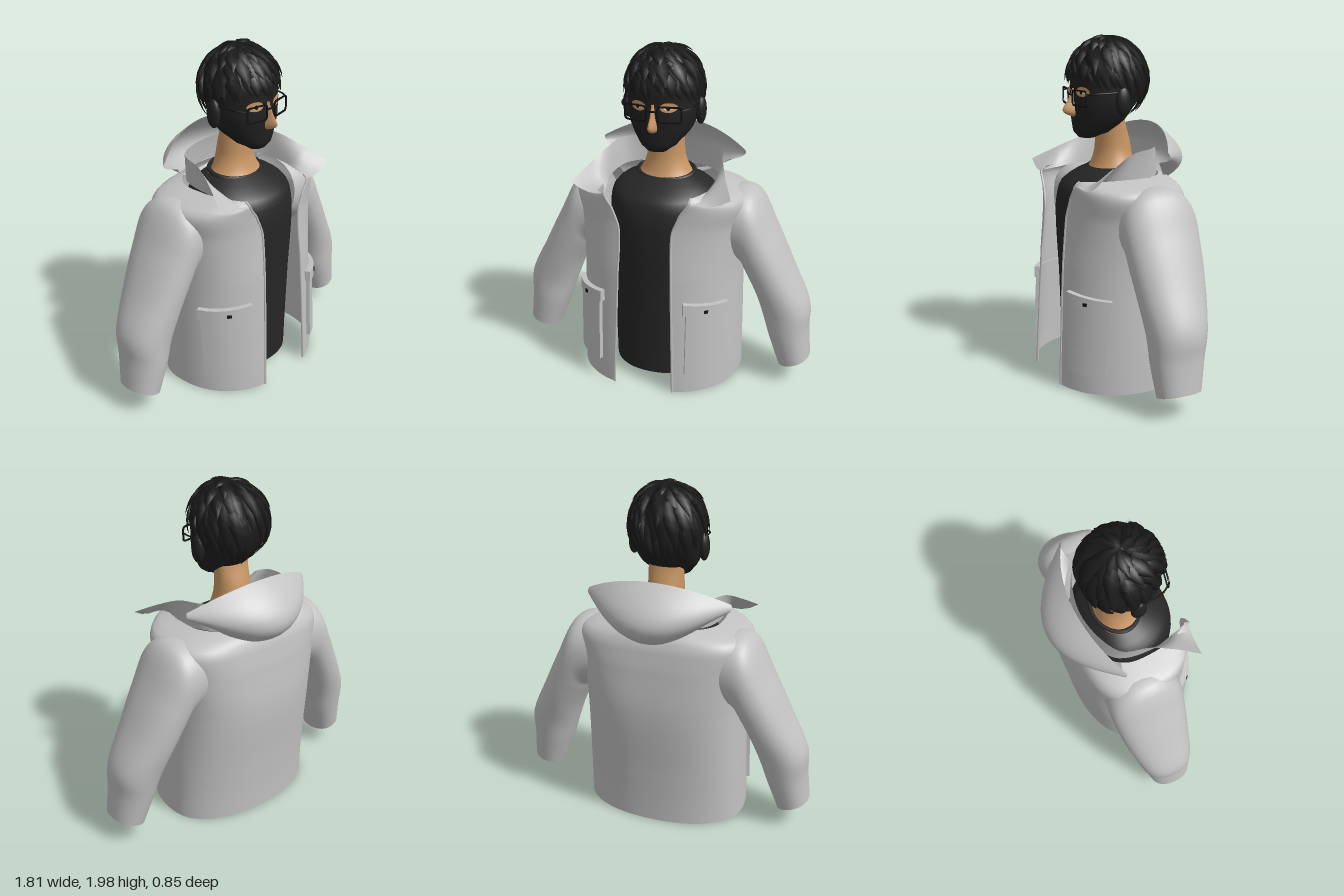
import * as THREE from 'three';

const mat = (name, color) => {
  const m = new THREE.MeshStandardMaterial({ color, side: THREE.DoubleSide });
  m.name = name;
  return m;
};
const V = (x, y, z) => new THREE.Vector3(x, y, z);

// Smooth lookup in a table of rows whose first column is the height
function atY(rows, y) {
  let i = 0;
  while (i < rows.length - 2 && y > rows[i + 1][0]) i++;
  const t = (y - rows[i][0]) / (rows[i + 1][0] - rows[i][0]);
  const r = (k) => rows[Math.min(Math.max(k, 0), rows.length - 1)];
  return rows[i].map((b, c) => {
    if (c === 0) return y;
    const a = r(i - 1)[c], d = r(i + 1)[c], e = r(i + 2)[c];
    return 0.5 * (2 * b + (d - a) * t + (2 * a - 5 * b + 4 * d - e) * t * t + (3 * b - a - 3 * d + e) * t ** 3);
  });
}

// Skin a surface over rows of points
function loft(rings, closed = true) {
  const n = rings[0].length, index = [];
  for (let i = 0; i < rings.length - 1; i++) {
    for (let j = 0; j < (closed ? n : n - 1); j++) {
      const a = i * n + j, b = i * n + (j + 1) % n;
      index.push(a, b, a + n, b, b + n, a + n);
    }
  }
  const g = new THREE.BufferGeometry().setFromPoints(rings.flat());
  g.setIndex(index);
  g.computeVertexNormals();
  return g;
}

// Superellipse ring from a row [y, halfWidth, frontZ, backZ, centreZ, opening, backExponent]; angle 0 is the front
const pw = (v, p) => Math.sign(v) * Math.abs(v) ** p;
function ring([y, w, front, back, c, , nb], n, count, a0 = 0, a1 = Math.PI * 2, closed = true) {
  return Array.from({ length: count }, (_, i) => {
    const a = a0 + (a1 - a0) * i / (closed ? count : count - 1), cos = Math.cos(a);
    const p = 2 / (cos < 0 && nb ? nb : n), k = pw(cos, p);
    return V(w * pw(Math.sin(a), p), y, c + (k > 0 ? (front - c) * k : (c - back) * k));
  });
}
function body(rows, n, steps, count, cap = false) {
  const y0 = rows[0][0], y1 = rows[rows.length - 1][0], rings = [];
  for (let i = 0; i <= steps; i++) rings.push(ring(atY(rows, y0 + (y1 - y0) * i / steps), n, count));
  if (cap) {
    const r = rows[0], mid = V(0, y0, (r[2] + r[3]) / 2);
    rings.unshift(rings[0].map(() => mid.clone()), rings[0].map((p) => p.clone()));
  }
  return loft(rings);
}
// z of the front surface of such a body
const frontZ = (rows, n, x, y) => {
  const r = atY(rows, y);
  return r[4] + (r[2] - r[4]) * Math.max(0, 1 - Math.abs(x / r[1]) ** n) ** (1 / n);
};

// Rows: y, half width, front, back, centre (jacket adds half opening and back squareness)
const JACKET = [[0.01, 0.49, 0.44, -0.31, 0, 0.18, 2.2], [0.3, 0.485, 0.425, -0.325, 0, 0.172, 2.3], [0.72, 0.475, 0.4, -0.355, 0, 0.16, 2.6],
  [1.0, 0.49, 0.372, -0.335, 0, 0.156, 3], [1.12, 0.515, 0.37, -0.315, 0, 0.2, 3], [1.17, 0.49, 0.38, -0.295, 0, 0.235, 2.8],
  [1.195, 0.42, 0.4, -0.275, 0, 0.247, 2.4], [1.215, 0.33, 0.44, -0.24, 0, 0.25, 2.2]];
const SHIRT = [[0.04, 0.3, 0.3, -0.22, 0], [0.6, 0.31, 0.315, -0.24, 0], [1.0, 0.32, 0.33, -0.25, 0],
  [1.14, 0.31, 0.3, -0.22, 0], [1.2, 0.26, 0.22, -0.19, 0], [1.24, 0.175, 0.14, -0.135, 0]];
const NECK = [[1.19, 0.2, 0.16, -0.15, 0], [1.26, 0.145, 0.125, -0.12, 0], [1.33, 0.115, 0.105, -0.11, 0],
  [1.4, 0.107, 0.1, -0.095, 0], [1.52, 0.105, 0.1, -0.06, 0]];
const HEAD = [[1.42, 0.055, 0.21, 0.12, 0.165], [1.45, 0.1, 0.235, 0.03, 0.13], [1.52, 0.16, 0.243, -0.045, 0.06],
  [1.6, 0.193, 0.248, -0.105, 0.04], [1.7, 0.203, 0.243, -0.155, 0.03], [1.8, 0.203, 0.235, -0.17, 0.03],
  [1.9, 0.15, 0.17, -0.12, 0.03], [1.95, 0.05, 0.06, -0.02, 0.02]];
const NOSE = [[1.54, 0.018, 0.25, 0.2, 0.22], [1.555, 0.028, 0.292, 0.2, 0.22], [1.58, 0.027, 0.312, 0.2, 0.22],
  [1.63, 0.017, 0.282, 0.2, 0.22], [1.7, 0.013, 0.252, 0.2, 0.22]];
// Sleeve: step, outer x, y, inner x, y, back z, front z
const SLEEVE = [[0, 0.36, 1.185, 0.34, 0.8, -0.25, 0.17], [1, 0.53, 1.17, 0.455, 0.75, -0.262, 0.185], [2, 0.655, 0.95, 0.495, 0.69, -0.25, 0.182],
  [3, 0.77, 0.72, 0.56, 0.56, -0.222, 0.17], [4, 0.878, 0.5, 0.61, 0.42, -0.18, 0.155],
  [5, 0.888, 0.34, 0.655, 0.285, -0.15, 0.15], [6, 0.905, 0.17, 0.72, 0.11, -0.115, 0.135]];

export function createModel() {
  const group = new THREE.Group();
  const cloth = mat('jacket grey', 0xc2c2c2), black = mat('shirt black', 0x262626), mask = mat('mask black', 0x202020);
  const hairM = mat('hair black', 0x1b1b1b), skin = mat('skin', 0xc79563), white = mat('eye white', 0xe4dcd2), dark = mat('dark detail', 0x111111);
  const add = (name, geometry, material, parent = group) => {
    const m = new THREE.Mesh(geometry, material);
    m.name = name;
    parent.add(m);
    return m;
  };

  // Jacket body, open down the front and hanging slightly to one side
  const openAngle = (r) => Math.asin((r[5] / r[1]) ** 1.15);
  const hang = -0.01;
  const shell = [];
  for (let i = 0; i <= 60; i++) {
    const r = atY(JACKET, 0.01 + 1.205 * i / 60), a = openAngle(r);
    shell.push(ring(r, 2.3, 97, a, Math.PI * 2 - a, false).map((p) => p.add(V(hang, 0, 0))));
  }
  add('jacketBody', loft(shell, false), cloth);

  // Collar, flaring to a point at each front end
  const half = [[0.25, 1.195, 0.34, 0.465, 1.23, 0.32], [0.285, 1.2, 0.22, 0.4, 1.3, 0.19], [0.315, 1.205, 0.08, 0.345, 1.36, 0.05],
    [0.27, 1.215, -0.13, 0.295, 1.38, -0.11]];
  const whole = [...half, [0, 1.22, -0.24, 0, 1.37, -0.21], ...half.slice().reverse().map((p) => [-p[0], p[1], p[2], -p[3], p[4], p[5]])];
  const low = new THREE.CatmullRomCurve3(whole.map((p) => V(p[0], p[1], p[2])));
  const high = new THREE.CatmullRomCurve3(whole.map((p) => V(p[3], p[4], p[5])));
  const collar = [];
  for (let i = 0; i <= 56; i++) {
    const a = low.getPoint(i / 56), b = high.getPoint(i / 56);
    const bulge = 0.06 - 0.7 * Math.max(0, Math.abs(i / 28 - 1) - 0.75);
    collar.push([0, 0.25, 0.5, 0.75, 1].map((t) => a.clone().lerp(b, t).add(V(0, bulge * t * (1 - t), 0))));
  }
  add('collar', loft(collar, false), cloth);

  // Hood folded down the back
  const hood = [];
  for (let i = 0; i <= 40; i++) {
    const s = i / 20 - 1, q = s * s;
    const c = new THREE.QuadraticBezierCurve3(V(0.43 * s, 1.485 - 0.115 * q, -0.245 + 0.12 * q),
      V(0.46 * s, 1.25 + 0.07 * q, -0.575 + 0.42 * q), V(0.34 * s, 1.13 + 0.17 * q, -0.28 + 0.16 * q));
    hood.push(c.getPoints(14));
  }
  add('hood', loft(hood, false), cloth);

  // Sleeves, front edges and pockets on both sides
  for (const side of [1, -1]) {
    const tag = side > 0 ? 'left' : 'right';
    const rings = [];
    for (let i = 0; i <= 42; i++) {
      const [, ox, oy, ix, iy, zb, zf] = atY(SLEEVE, i / 7);
      rings.push(Array.from({ length: 32 }, (_, j) => {
        const a = j / 32 * Math.PI * 2, k = 0.5 + 0.5 * pw(Math.cos(a), 0.9);
        return V(side * (ix + (ox - ix) * k), iy + (oy - iy) * k, (zb + zf) / 2 + (zf - zb) / 2 * pw(Math.sin(a), 0.9));
      }));
    }
    add(tag + 'Sleeve', loft(rings), cloth);
    const edge = shell.map((r) => (side > 0 ? r[0] : r[r.length - 1]).clone());
    add(tag + 'FrontEdge', new THREE.TubeGeometry(new THREE.CatmullRomCurve3(edge), 60, 0.007, 6), cloth);

    // Box wrapped over the jacket front; the right pocket sits further out
    const shift = side > 0 ? 0.008 : 0.034;
    const wrap = (xa, xb, y0, y1, depth, slope) => {
      const x0 = xa + shift, x1 = xb + shift;
      const g = new THREE.BoxGeometry(x1 - x0, y1 - y0, 1, 10, 6, 1), p = g.attributes.position;
      for (let i = 0; i < p.count; i++) {
        const x = p.getX(i) + (x0 + x1) / 2;
        const y = p.getY(i) + (y0 + y1) / 2 + slope * (x1 - x);
        const z = frontZ(JACKET, 2.3, x, y), d = p.getZ(i) > 0 ? depth : -0.01;
        const out = V(x, 0, z * 1.2).normalize().multiplyScalar(d);
        p.setXYZ(i, side * (x + out.x) + hang, y, z + out.z);
      }
      if (side < 0) {
        const ix = g.index.array;
        for (let i = 0; i < ix.length; i += 3) [ix[i], ix[i + 1]] = [ix[i + 1], ix[i]];
      }
      g.computeVertexNormals();
      return g;
    };
    add(tag + 'Pocket', wrap(0.235, 0.42, 0.12, 0.51, 0.022, 0.09), cloth);
    add(tag + 'PocketFlap', wrap(0.217, 0.422, 0.5, 0.568, 0.032, 0.13), cloth);
    add(tag + 'PocketButton', wrap(0.318, 0.336, 0.533, 0.551, 0.037, 0), dark);
  }

  // Shirt and neck
  add('shirt', body(SHIRT, 2.2, 40, 48, true), black);
  const rim = add('shirtNeckline', new THREE.TorusGeometry(0.165, 0.014, 8, 48), black);
  rim.scale.y = 0.82;
  rim.rotation.x = Math.PI / 2 + 0.12;
  rim.position.y = 1.245;
  add('neck', body(NECK, 2, 16, 32), skin);

  // Head
  const head = new THREE.Group();
  head.name = 'head';
  group.add(head);
  add('maskedFace', body(HEAD, 2.2, 36, 40, true), mask, head);
  add('nose', body(NOSE, 1.7, 14, 16, true), skin, head);

  // Thin plates following the face
  const facePlate = (cx, cy, rx, ry, lift) => {
    const g = new THREE.CircleGeometry(1, 24), p = g.attributes.position;
    for (let i = 0; i < p.count; i++) {
      const x = cx + p.getX(i) * rx, y = cy + p.getY(i) * ry;
      p.setXYZ(i, x, y, frontZ(HEAD, 2.2, x, y) + lift);
    }
    g.computeVertexNormals();
    return g;
  };
  const rounded = (path, w, h, r) => {
    path.moveTo(-w + r, -h).lineTo(w - r, -h).quadraticCurveTo(w, -h, w, -h + r).lineTo(w, h - r).quadraticCurveTo(w, h, w - r, h);
    path.lineTo(-w + r, h).quadraticCurveTo(-w, h, -w, h - r).lineTo(-w, -h + r).quadraticCurveTo(-w, -h, -w + r, -h);
    return path;
  };
  for (const side of [1, -1]) {
    const tag = side > 0 ? 'left' : 'right';
    add(tag + 'EyeSkin', facePlate(side * 0.086, 1.685, 0.046, 0.027, 0.004), skin, head);
    add(tag + 'EyeWhite', facePlate(side * 0.088, 1.683, 0.027, 0.01, 0.007), white, head);
    add(tag + 'Iris', facePlate(side * 0.087, 1.684, 0.011, 0.012, 0.009), dark, head);
    const ear = add(tag + 'Ear', new THREE.SphereGeometry(1, 16, 12), mask, head);
    ear.scale.set(0.03, 0.082, 0.045);
    ear.position.set(side * 0.213, 1.635, 0.04);
    // Glasses
    const frame = rounded(new THREE.Shape(), 0.07, 0.047, 0.025);
    frame.holes.push(rounded(new THREE.Path(), 0.062, 0.039, 0.02));
    const lens = add(tag + 'GlassesFrame', new THREE.ExtrudeGeometry(frame, { depth: 0.008, bevelEnabled: false }), dark, head);
    lens.position.set(side * 0.095, 1.65, 0.246);
    lens.rotation.y = side * 0.2;
    const temple = new THREE.CatmullRomCurve3([V(side * 0.163, 1.675, 0.236), V(side * 0.198, 1.68, 0.18), V(side * 0.212, 1.685, 0.04)]);
    add(tag + 'GlassesTemple', new THREE.TubeGeometry(temple, 12, 0.005, 6), dark, head);
  }
  add('glassesBridge', new THREE.BoxGeometry(0.06, 0.008, 0.008), dark, head).position.set(0, 1.665, 0.264);

  // Hair: a cap covered by flat tapered locks swirling out from the crown
  const cap = add('hairCap', new THREE.SphereGeometry(0.212, 32, 20, 0, Math.PI * 2, 0, Math.PI * 0.55), hairM, head);
  cap.position.set(0, 1.745, 0.02);
  cap.rotation.x = -0.45;
  let seed = 7;
  const rnd = () => (seed = (seed * 16807) % 2147483647) / 2147483647;
  const lock = (az0, phi0, phi1, width, lift) => {
    const rings = [], swirl = 0.1 + rnd() * 0.35, flare = 0.03 + rnd() * 0.06;
    for (let k = 0; k <= 7; k++) {
      const t = k / 7, phi = phi0 + (phi1 - phi0) * t, az = az0 + swirl * (t - 1);
      const n = V(Math.sin(phi) * Math.sin(az), Math.cos(phi), Math.sin(phi) * Math.cos(az));
      const across = V(Math.cos(az), 0, -Math.sin(az));
      const depth = 0.224 + 0.012 * Math.cos(az);
      const c = n.clone().multiply(V(0.22, 0.232, depth)).multiplyScalar(0.97 + lift + flare * t).add(V(0, 1.742, 0.025));
      const w = width * (t < 0.5 ? 0.5 + t : 1 - ((t - 0.5) / 0.5) ** 1.3);
      rings.push([[1, 0], [0, 0.22], [-1, 0], [0, -0.22]].map(([u, v]) => c.clone().addScaledVector(across, u * w).addScaledVector(n, v * w)));
    }
    return loft(rings);
  };
  for (const [count, start, reach, width, lift] of [[30, 0.8, 1, 0.044, 0], [24, 0.45, 0.8, 0.046, 0.02], [16, 0.15, 0.55, 0.046, 0.03], [9, 0.02, 0.3, 0.034, 0.04]]) {
    for (let i = 0; i < count; i++) {
      const az = (i + rnd() * 0.7) / count * Math.PI * 2, c = Math.cos(az);
      const end = (1.87 - (c > 0 ? 0.32 : 0.68) * c) * reach + (rnd() - 0.5) * 0.22;
      add('hairLock', lock(az, start, end, width, lift + rnd() * 0.025), hairM, head);
    }
  }
  return group;
}
